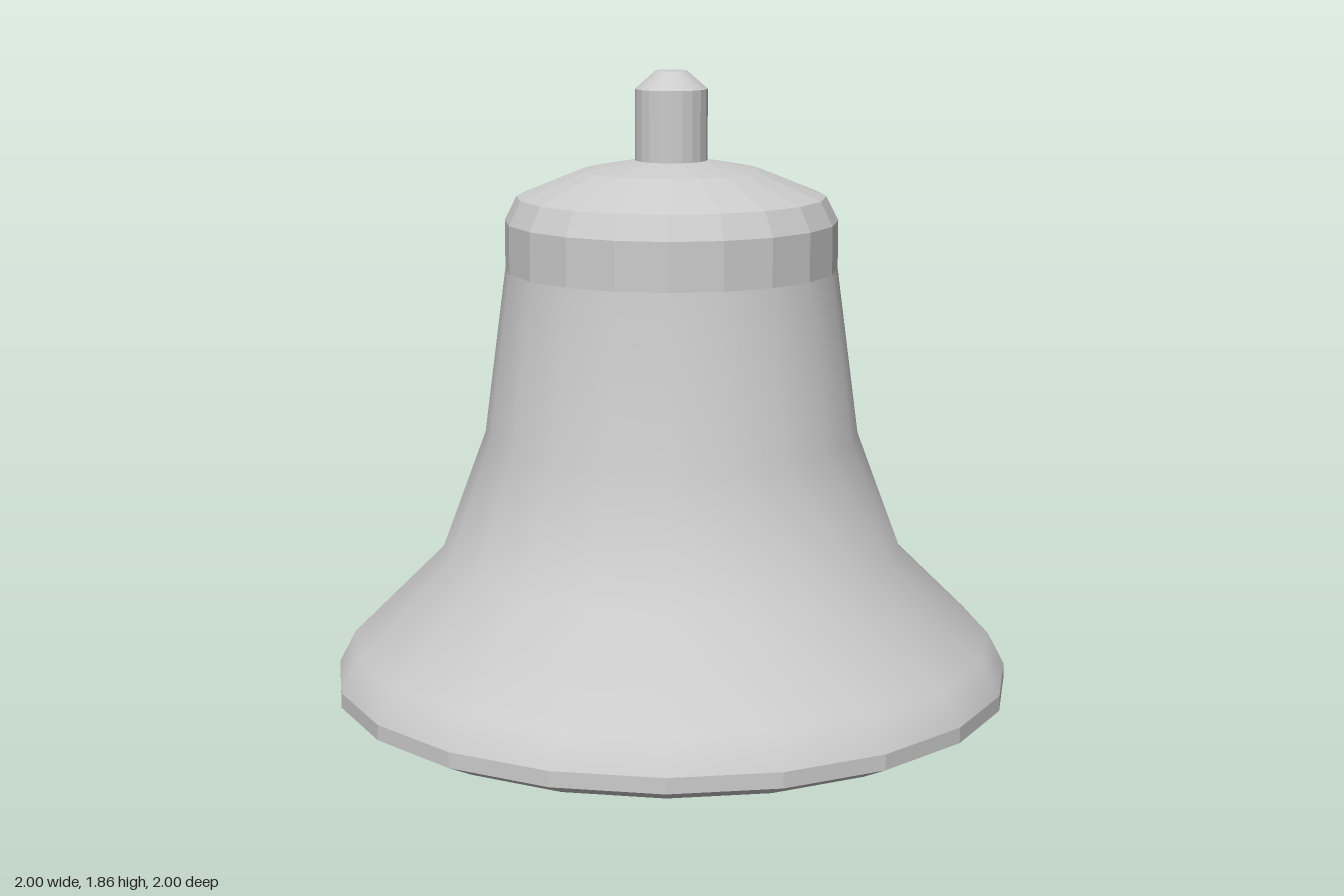
import * as THREE from 'three';

const SIDES = 20;

export function createModel() {
  const bell = new THREE.Group();
  bell.name = 'bell';
  const smooth = new THREE.MeshStandardMaterial({ color: 0xcccccc });
  const flat = new THREE.MeshStandardMaterial({ color: 0xcccccc, flatShading: true });

  // Turns a [radius, height] profile, listed from bottom to top
  const turn = (name, profile, material) => {
    const points = profile.map(([r, y]) => new THREE.Vector2(r, y));
    const mesh = new THREE.Mesh(new THREE.LatheGeometry(points, SIDES), material);
    mesh.name = name;
    bell.add(mesh);
  };

  // Closed base, bevel and upright edge of the lip
  turn('lip', [[0, 0], [0.91, 0], [1, 0.045], [1, 0.09]], flat);

  // Flared body
  turn('waist', [[1, 0.09], [0.95, 0.185], [0.68, 0.45], [0.55, 0.8], [0.485, 1.29]], smooth);

  // Faceted band and chamfer
  turn('shoulder', [[0.485, 1.29], [0.485, 1.43], [0.45, 1.5]], flat);

  // Shallow dome
  turn('crown', [[0.45, 1.5], [0.26, 1.577], [0.105, 1.605]], flat);

  // Stem and its tapered tip
  turn('stem', [[0.105, 1.6], [0.105, 1.81]], flat);
  turn('stemTaper', [[0.105, 1.81], [0.045, 1.862]], smooth);
  turn('stemTop', [[0.045, 1.862], [0, 1.862]], flat);

  return bell;
}
